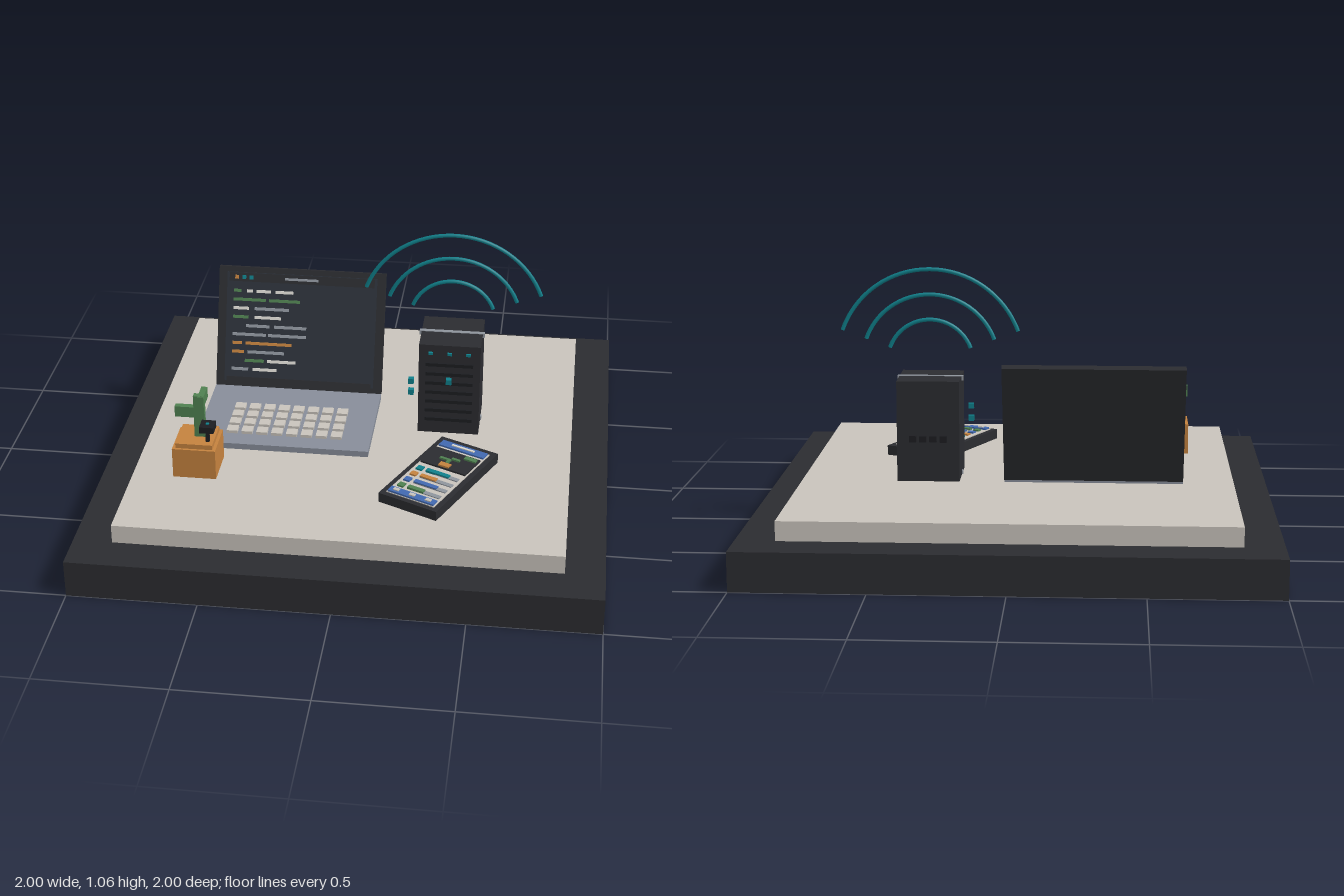
import * as THREE from 'three';

const C = {
  dark: 0x2b2c30, black: 0x1c1d21, screen: 0x2c313a, beige: 0xc8c3bb, metal: 0x878d99, grey: 0x8e949c,
  teal: 0x0f7f8a, orange: 0xc4823e, green: 0x4f8050, blue: 0x4169b0, white: 0xdad8d2,
};
const mats = {};
const mat = (c) => (mats[c] ??= new THREE.MeshStandardMaterial({ color: C[c] }));

// Box given by its centre and size
function box(parent, name, color, [x, y, z], [w, h, d]) {
  const m = new THREE.Mesh(new THREE.BoxGeometry(w, h, d), mat(color));
  m.name = name;
  m.position.set(x, y, z);
  parent.add(m);
  return m;
}

function group(parent, name, x = 0, y = 0, z = 0) {
  const g = new THREE.Group();
  g.name = name;
  g.position.set(x, y, z);
  parent.add(g);
  return g;
}

function addLaptop(root) {
  const laptop = group(root, 'laptop', -0.3, 0.225, 0);
  box(laptop, 'keyboardDeck', 'metal', [0, 0.0125, 0.015], [0.7, 0.025, 0.47]);
  for (let r = 0; r < 4; r++)
    for (let c = 0; c < 8; c++)
      box(laptop, 'key', 'beige', [-0.212 + c * 0.0605, 0.031, -0.035 + r * 0.0617], [0.044, 0.013, 0.044]);

  // Lid leaning back from the hinge
  const lid = group(laptop, 'lid', 0, 0.025, -0.215);
  lid.rotation.x = -THREE.MathUtils.degToRad(20);
  box(lid, 'lidShell', 'dark', [0, 0.252, -0.015], [0.7, 0.505, 0.03]);
  box(lid, 'screen', 'screen', [0, 0.252, 0.001], [0.63, 0.46, 0.006]);
  box(lid, 'titleBar', 'dark', [0, 0.462, 0.004], [0.61, 0.036, 0.008]);
  box(lid, 'statusBar', 'dark', [0, 0.03, 0.004], [0.61, 0.02, 0.008]);
  ['orange', 'teal', 'teal'].forEach((c, i) =>
    box(lid, 'windowButton', c, [-0.273 + i * 0.03, 0.462, 0.008], [0.016, 0.016, 0.008]));
  box(lid, 'windowTitle', 'grey', [0, 0.462, 0.008], [0.14, 0.01, 0.008]);

  // Code lines: [colour, start, length] segments for each row
  const code = [
    [['green', -0.285, 0.03], ['white', -0.23, 0.025], ['white', -0.19, 0.06], ['white', -0.11, 0.075]],
    [['green', -0.285, 0.135], ['green', -0.135, 0.13]],
    [['white', -0.285, 0.065], ['grey', -0.195, 0.145]],
    [['green', -0.285, 0.065], ['white', -0.195, 0.112]],
    [['grey', -0.23, 0.1], ['grey', -0.11, 0.135]],
    [['grey', -0.285, 0.14], ['grey', -0.135, 0.16]],
    [['orange', -0.285, 0.04], ['orange', -0.23, 0.195]],
    [['orange', -0.285, 0.05], ['grey', -0.22, 0.155]],
    [['green', -0.23, 0.08], ['white', -0.135, 0.12]],
    [['grey', -0.285, 0.07], ['white', -0.195, 0.1]],
  ];
  code.forEach((row, i) => row.forEach(([c, x, w]) =>
    box(lid, 'codeLine', c, [x + w / 2, 0.405 - i * 0.0368, 0.005], [w, 0.012, 0.01])));
}

function addTower(root) {
  const t = group(root, 'computerTower', 0.35, 0.225, -0.1);
  box(t, 'towerCase', 'dark', [0, 0.2, 0], [0.246, 0.4, 0.246]);
  // Front slats, lamps and rear vents
  for (let i = 0; i < 7; i++)
    box(t, 'frontSlat', 'black', [0, 0.065 + i * 0.0417, 0.124], [0.19, 0.014, 0.016]);
  for (const x of [-0.075, 0, 0.075])
    box(t, 'statusLamp', 'teal', [x, 0.365, 0.126], [0.018, 0.01, 0.014]);
  for (let i = 0; i < 4; i++)
    box(t, 'rearVent', 'black', [-0.06 + i * 0.04, 0.172, -0.128], [0.028, 0.025, 0.022]);
  // Side pins and the seam across the top
  box(t, 'topSeam', 'grey', [0, 0.393, 0], [0.262, 0.018, 0.018]);
  box(t, 'bottomSeam', 'grey', [0, 0.01, 0], [0.256, 0.016, 0.018]);
  // Small data cubes floating by the front
  for (const [x, y, z] of [[-0.15, 0.25, 0.15], [-0.15, 0.2, 0.15], [0, 0.25, 0.142]])
    box(t, 'dataCube', 'teal', [x, y, z], [0.022, 0.022, 0.022]);
}

// Three concentric signal arcs over the tower
function addSignal(root) {
  const s = group(root, 'wirelessSignal', 0.35, 0.68, -0.1);
  const start = THREE.MathUtils.degToRad(20);
  for (const r of [0.17, 0.27, 0.37]) {
    const arc = new THREE.Mesh(new THREE.TorusGeometry(r, 0.008, 8, 32, Math.PI - 2 * start), mat('teal'));
    arc.name = 'signalArc';
    arc.rotation.z = start;
    s.add(arc);
    for (const side of [-1, 1]) {
      const cap = new THREE.Mesh(new THREE.CircleGeometry(0.008, 8), mat('teal'));
      cap.name = 'arcEnd';
      cap.position.set(side * r * Math.cos(start), r * Math.sin(start), 0);
      cap.rotation.set(Math.PI / 2, side * start, 0, 'ZXY');
      cap.rotation.z = side * start;
      cap.rotation.y = 0;
      s.add(cap);
    }
  }
}

function addPlant(root) {
  const p = group(root, 'pottedPlant', -0.604, 0.225, 0.397);
  box(p, 'pot', 'orange', [0, 0.0625, 0], [0.17, 0.125, 0.17]);
  box(p, 'potRim', 'orange', [0, 0.135, 0], [0.145, 0.02, 0.15]);
  box(p, 'stem', 'green', [0.013, 0.235, 0], [0.042, 0.18, 0.024]);
  box(p, 'leftLeaf', 'green', [-0.04, 0.252, 0], [0.085, 0.045, 0.024]);
  box(p, 'backLeaf', 'green', [0.022, 0.302, -0.025], [0.024, 0.045, 0.085]);
  // Dark sensor on a thin post
  box(p, 'sensorPost', 'black', [0.05, 0.175, 0.042], [0.014, 0.06, 0.014]);
  box(p, 'sensor', 'black', [0.052, 0.211, 0.045], [0.056, 0.026, 0.06]);
  box(p, 'sensorLamp', 'teal', [0.052, 0.223, 0.045], [0.012, 0.008, 0.012]);
}

function addPhone(root) {
  const p = group(root, 'phone', 0.346, 0.225, 0.396);
  p.rotation.y = -THREE.MathUtils.degToRad(25);
  box(p, 'phoneBody', 'dark', [0, 0.02, 0], [0.254, 0.04, 0.49]);
  // Flat interface pieces lying on the glass
  const tile = (name, c, x, z, w, d, top = 0.051) =>
    box(p, name, c, [x, (top + 0.036) / 2, z], [w, top - 0.036, d]);
  tile('phoneScreen', 'beige', 0, 0.004, 0.21, 0.44, 0.044);
  tile('headerBar', 'blue', 0, -0.19, 0.2, 0.04);
  tile('headerText', 'white', 0, -0.19, 0.1, 0.01, 0.055);
  tile('pictureCard', 'dark', 0, -0.088, 0.2, 0.125);
  tile('picturePot', 'orange', 0, -0.042, 0.045, 0.026, 0.058);
  tile('pictureStem', 'green', 0, -0.072, 0.012, 0.03, 0.058);
  tile('pictureLeaf', 'green', -0.022, -0.082, 0.04, 0.012, 0.058);
  tile('pictureLeaf', 'green', 0.02, -0.096, 0.035, 0.012, 0.058);
  tile('pictureBadge', 'green', 0.068, -0.128, 0.05, 0.022, 0.058);
  ['teal', 'orange', 'blue', 'green'].forEach((c, i) => {
    const z = 0.018 + i * 0.047;
    tile('rowIcon', c, -0.075, z, 0.026, 0.026);
    tile('rowTrack', 'grey', 0.025, z, 0.14, 0.02, 0.048);
    tile('rowBar', c, -0.045 + (0.1 - (i % 2) * 0.03) / 2, z, 0.1 - (i % 2) * 0.03, 0.02, 0.053);
  });
  tile('bottomBar', 'blue', 0, 0.205, 0.2, 0.034);
  for (const x of [-0.07, 0, 0.07]) tile('bottomButton', 'beige', x, 0.205, 0.024, 0.016, 0.055);
}

export function createModel() {
  const root = new THREE.Group();
  root.name = 'deskScene';
  box(root, 'plinth', 'dark', [0, 0.075, 0], [2, 0.15, 2]);
  box(root, 'deskTop', 'beige', [0, 0.1875, 0], [1.7, 0.075, 1.7]);
  addLaptop(root);
  addTower(root);
  addSignal(root);
  addPlant(root);
  addPhone(root);
  return root;
}
